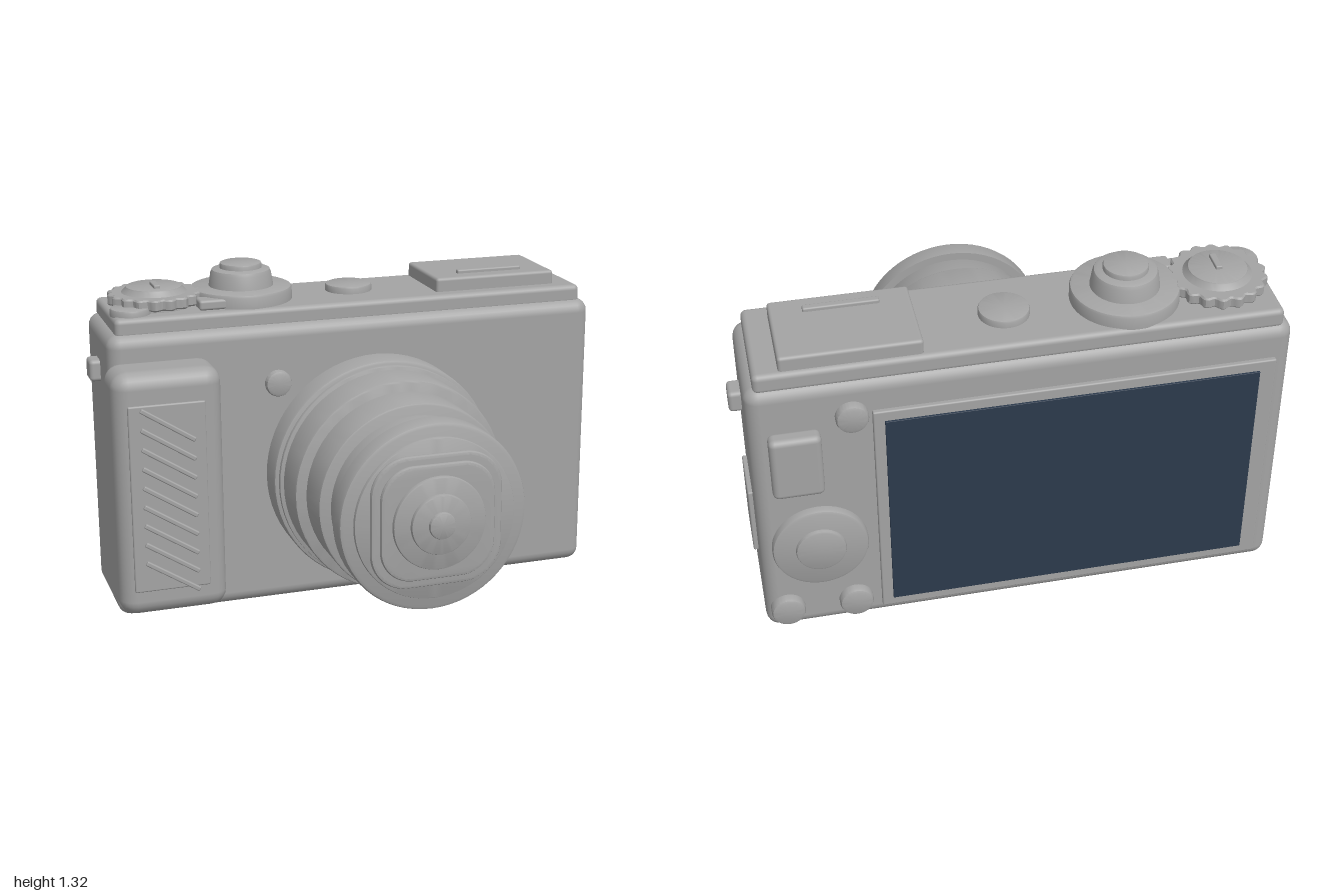
import * as THREE from 'three';
import { toCreasedNormals } from 'three/addons/utils/BufferGeometryUtils.js';
import { RoundedBoxGeometry } from 'three/addons/geometries/RoundedBoxGeometry.js';

const bodyGrey = new THREE.MeshStandardMaterial({ color: 0xa4a4a4 });
bodyGrey.name = 'bodyGrey';
const screenBlue = new THREE.MeshStandardMaterial({ color: 0x2c3a4c });
screenBlue.name = 'screenBlue';

export function createModel() {
  const model = new THREE.Group();
  model.name = 'compactCamera';

  const add = (name, geometry, material = bodyGrey, parent = model) => {
    const mesh = new THREE.Mesh(geometry, material);
    mesh.name = name;
    parent.add(mesh);
    return mesh;
  };

  // Rounded box given by its limits on each axis
  const box = (name, [x0, x1], [y0, y1], [z0, z1], radius = 0.01, material = bodyGrey) => {
    const mesh = add(name, new RoundedBoxGeometry(x1 - x0, y1 - y0, z1 - z0, 3, radius), material);
    mesh.position.set((x0 + x1) / 2, (y0 + y1) / 2, (z0 + z1) / 2);
    return mesh;
  };

  // Turned disc rising along its axis, with a bevelled upper rim
  const discGeometry = (r, h, bevel = 0.008, topR = r) => {
    const points = [[0, 0], [r, 0], [topR, h - bevel], [topR - bevel * 0.3, h - bevel * 0.3], [topR - bevel, h], [0, h]]
      .map(([x, y]) => new THREE.Vector2(x, y));
    return toCreasedNormals(new THREE.LatheGeometry(points, 64), 0.6);
  };
  const topDisc = (name, x, z, r, y0, y1, bevel, topR) =>
    add(name, discGeometry(r, y1 - y0, bevel, topR)).position.set(x, y0, z);
  const frontDisc = (name, x, y, r, z0, z1, bevel, topR) => {
    const mesh = add(name, discGeometry(r, z1 - z0, bevel, topR).rotateX(Math.PI / 2));
    mesh.position.set(x, y, z0);
  };
  const backDisc = (name, x, y, r, z0, z1, bevel) => {
    const mesh = add(name, discGeometry(r, z0 - z1, bevel).rotateX(-Math.PI / 2));
    mesh.position.set(x, y, z0);
  };

  // Body and top plate
  box('body', [-0.96, 0.955], [0.02, 1.12], [-0.565, -0.113], 0.05);
  box('topPlate', [-0.925, 0.92], [1.1, 1.175], [-0.547, -0.144], 0.02);
  topDisc('tripodSocket', 0.2, -0.34, 0.06, 0, 0.03, 0.003);

  // Hand grip with slanted ribs
  box('grip', [-0.98, -0.575], [0.088, 1.02], [-0.16, 0.055], 0.06);
  box('gripPad', [-0.93, -0.645], [0.19, 0.905], [0.03, 0.062], 0.006);
  for (let i = 0; i < 9; i++) {
    const rib = add('gripRib', new RoundedBoxGeometry(0.235, 0.018, 0.03, 2, 0.005));
    rib.position.set(-0.786, 0.826 - i * 0.073, 0.057);
    rib.rotation.z = -0.575;
  }

  // Stepped lens barrel: radius, back z, front z
  const lensX = 0.064, lensY = 0.535;
  [
    ['lensMount', 0.44, -0.13, -0.005, 0.012],
    ['lensGroove', 0.41, -0.01, 0.006, 0.002],
    ['lensTrimRing', 0.425, 0.004, 0.02, 0.003],
    ['outerBarrel', 0.41, 0.015, 0.175, 0.01],
    ['middleBarrel', 0.368, 0.17, 0.332, 0.008],
    ['innerBarrel', 0.323, 0.32, 0.46, 0.004],
    ['lensRim', 0.354, 0.453, 0.53, 0.015],
    ['frontRing', 0.303, 0.525, 0.545, 0.006],
    ['lensRing', 0.174, 0.57, 0.592, 0.006],
    ['lensInnerRing', 0.112, 0.585, 0.609, 0.006],
    ['lensCentre', 0.05, 0.6, 0.623, 0.008],
  ].forEach(([name, r, z0, z1, bevel]) => frontDisc(name, lensX, lensY, r, z0, z1, bevel));

  // Rounded square lens covers
  const roundedSquare = (half, corner) => {
    const s = new THREE.Shape(), i = half - corner;
    s.absarc(i, i, corner, 0, Math.PI / 2);
    s.absarc(-i, i, corner, Math.PI / 2, Math.PI);
    s.absarc(-i, -i, corner, Math.PI, Math.PI * 1.5);
    s.absarc(i, -i, corner, Math.PI * 1.5, Math.PI * 2);
    return s;
  };
  [[0.235, 0.561], [0.203, 0.576]].forEach(([half, front]) => {
    const geometry = new THREE.ExtrudeGeometry(roundedSquare(half, half * 0.55), {
      depth: 0.012, bevelThickness: 0.008, bevelSize: 0.012, bevelSegments: 2, curveSegments: 12,
    });
    add('lensCover', toCreasedNormals(geometry, 0.6)).position.set(lensX, lensY, front - 0.02);
  });
  frontDisc('focusLamp', -0.326, 0.896, 0.05, -0.13, -0.087, 0.012);

  // Scalloped mode dial
  const dialX = -0.737, dialZ = -0.345, outline = [];
  for (let i = 0; i < 144; i++) {
    const a = (i / 144) * Math.PI * 2, r = 0.163 + 0.008 * Math.cos(a * 18);
    outline.push(new THREE.Vector2(Math.cos(a) * r, Math.sin(a) * r));
  }
  const dialGeometry = new THREE.ExtrudeGeometry(new THREE.Shape(outline), {
    depth: 0.03, bevelThickness: 0.006, bevelSize: 0.005, bevelSegments: 1,
  });
  add('modeDial', toCreasedNormals(dialGeometry.rotateX(-Math.PI / 2), 0.6)).position.set(dialX, 1.192, dialZ);
  topDisc('dialStem', dialX, dialZ, 0.14, 1.17, 1.2, 0.003);
  topDisc('dialCap', dialX, dialZ, 0.125, 1.225, 1.25, 0.005, 0.105);
  box('dialMark', [dialX - 0.012, dialX + 0.012], [1.24, 1.262], [-0.365, -0.28], 0.004);
  topDisc('cornerButton', -0.85, -0.235, 0.075, 1.17, 1.2, 0.01);

  // Shutter release with zoom lever
  topDisc('shutterBase', -0.4, -0.35, 0.193, 1.17, 1.228, 0.012);
  box('zoomLever', [-0.6, -0.42], [1.175, 1.213], [-0.26, -0.185], 0.01);
  topDisc('shutterCollar', -0.4, -0.35, 0.124, 1.22, 1.295, 0.018, 0.115);
  topDisc('shutterButton', -0.4, -0.35, 0.08, 1.28, 1.316, 0.008);

  // Other top controls
  topDisc('powerButton', 0.032, -0.36, 0.09, 1.17, 1.203, 0.008);
  box('flashHousing', [0.34, 0.83], [1.16, 1.228], [-0.53, -0.2], 0.012);
  box('flashBar', [0.45, 0.715], [1.215, 1.242], [-0.287, -0.26], 0.006);

  // Strap lugs on both sides, port cover on the left
  [[-1, -0.94], [0.94, 1]].forEach(range => box('strapLug', range, [0.908, 0.99], [-0.38, -0.295], 0.015));
  box('portCover', [0.94, 0.972], [0.33, 0.605], [-0.46, -0.25], 0.006);

  // Screen and its raised frame
  box('screenFrame', [-0.9, 0.53], [0.075, 0.99], [-0.582, -0.55], 0.006);
  box('screen', [-0.84, 0.49], [0.115, 0.95], [-0.59, -0.581], 0.002, screenBlue);

  // Rear controls
  box('thumbRest', [0.71, 0.89], [0.685, 0.942], [-0.617, -0.55], 0.022);
  backDisc('controlRing', 0.74, 0.42, 0.172, -0.555, -0.596, 0.012);
  backDisc('controlCentre', 0.74, 0.42, 0.09, -0.58, -0.611, 0.008);
  [[0.6, 0.982, 0.057], [0.875, 0.125, 0.062], [0.625, 0.125, 0.062]].forEach(([x, y, r]) =>
    backDisc('rearButton', x, y, r, -0.555, -0.6, 0.014));

  return model;
}
